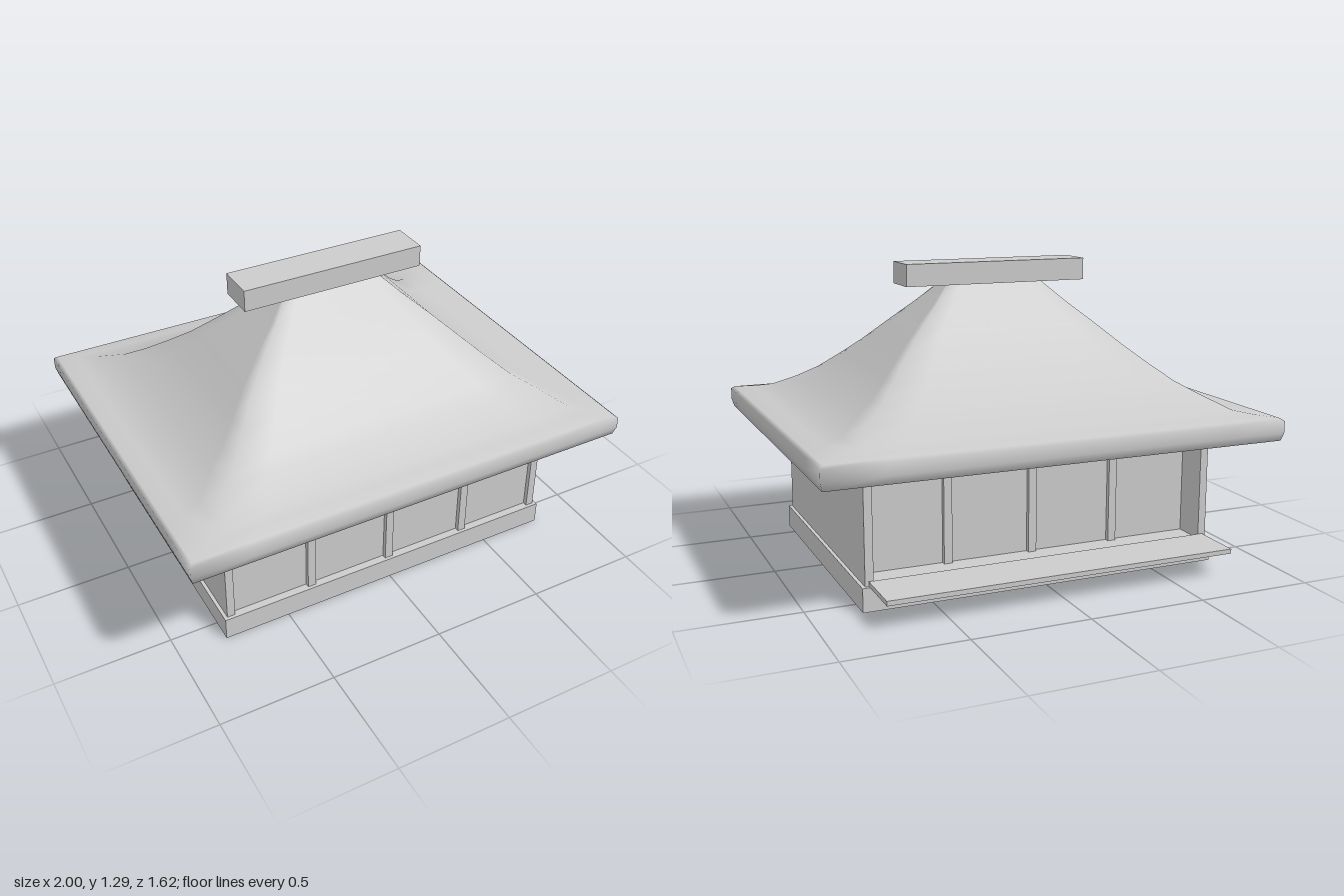
import * as THREE from 'three';

const grey = new THREE.MeshStandardMaterial({ color: 0xcccccc });

// Box given by its minimum and maximum on each axis
function box(name, x0, x1, y0, y1, z0, z1) {
  const mesh = new THREE.Mesh(new THREE.BoxGeometry(x1 - x0, y1 - y0, z1 - z0), grey);
  mesh.position.set((x0 + x1) / 2, (y0 + y1) / 2, (z0 + z1) / 2);
  mesh.name = name;
  return mesh;
}

// Smooth hipped roof lofted through rectangular rings [half width, half depth, height]
function roofGeometry(rings, segments = 8) {
  const corners = [[-1, 1], [1, 1], [1, -1], [-1, -1]];
  const count = segments * 4;
  const positions = [];
  const index = [];
  for (const [w, d, y] of rings) {
    for (let i = 0; i < count; i++) {
      const side = Math.floor(i / segments);
      const t = (i % segments) / segments;
      const a = corners[side], b = corners[(side + 1) % 4];
      positions.push(w * (a[0] + (b[0] - a[0]) * t), y, d * (a[1] + (b[1] - a[1]) * t));
    }
  }
  for (let r = 0; r < rings.length - 1; r++) {
    for (let i = 0; i < count; i++) {
      const j = (i + 1) % count;
      const a = r * count + i, b = r * count + j;
      index.push(a, b, b + count, a, b + count, a + count);
    }
  }
  const geometry = new THREE.BufferGeometry();
  geometry.setAttribute('position', new THREE.Float32BufferAttribute(positions, 3));
  geometry.setIndex(index);
  geometry.computeVertexNormals();
  return geometry;
}

export function createModel() {
  const model = new THREE.Group();
  model.name = 'pavilion';

  // Foundation and rear veranda
  model.add(box('foundation', -0.79, 0.79, 0, 0.1, -0.6, 0.6));
  model.add(box('veranda', -0.76, 0.76, 0.1, 0.12, -0.81, -0.585));

  // Walls: the back one is set in under the eave
  const top = 0.57, frontZ = 0.565, backZ = -0.44;
  for (const s of [-1, 1]) {
    const x = s * 0.7575;
    model.add(box(s > 0 ? 'leftWall' : 'rightWall', x - 0.0175, x + 0.0175, 0.1, top, -0.585, 0.585));
  }
  model.add(box('frontWall', -0.74, 0.74, 0.1, top, frontZ - 0.03, frontZ));
  model.add(box('backWall', -0.74, 0.74, 0.1, top, backZ, backZ + 0.03));

  // Posts dividing the front and back walls into bays
  for (const x of [-0.38, 0, 0.38]) {
    model.add(box('frontPost', x - 0.018, x + 0.018, 0.1, top, frontZ - 0.02, 0.585));
    model.add(box('backPost', x - 0.018, x + 0.018, 0.1, top, backZ - 0.02, backZ + 0.02));
  }
  model.add(box('backLintel', -0.74, 0.74, 0.53, top, backZ - 0.02, backZ + 0.01));

  // Roof: underside, rounded eave, concave slopes, open top hidden by the ridge
  const roof = new THREE.Mesh(roofGeometry([
    [0.60, 0.38, 0.56], [0.85, 0.66, 0.558], [0.96, 0.77, 0.557], [0.99, 0.80, 0.565],
    [1.00, 0.81, 0.60], [1.00, 0.81, 0.65], [0.985, 0.795, 0.662], [0.91, 0.735, 0.67],
    [0.83, 0.675, 0.685], [0.74, 0.55, 0.74], [0.66, 0.475, 0.79], [0.58, 0.385, 0.86],
    [0.505, 0.30, 0.93], [0.40, 0.205, 1.03], [0.30, 0.125, 1.12], [0.22, 0.055, 1.2],
  ]), grey);
  roof.name = 'roof';
  model.add(roof);

  // Ridge beam
  model.add(box('ridgeBeam', -0.415, 0.415, 1.2, 1.295, -0.085, 0.085));

  return model;
}
